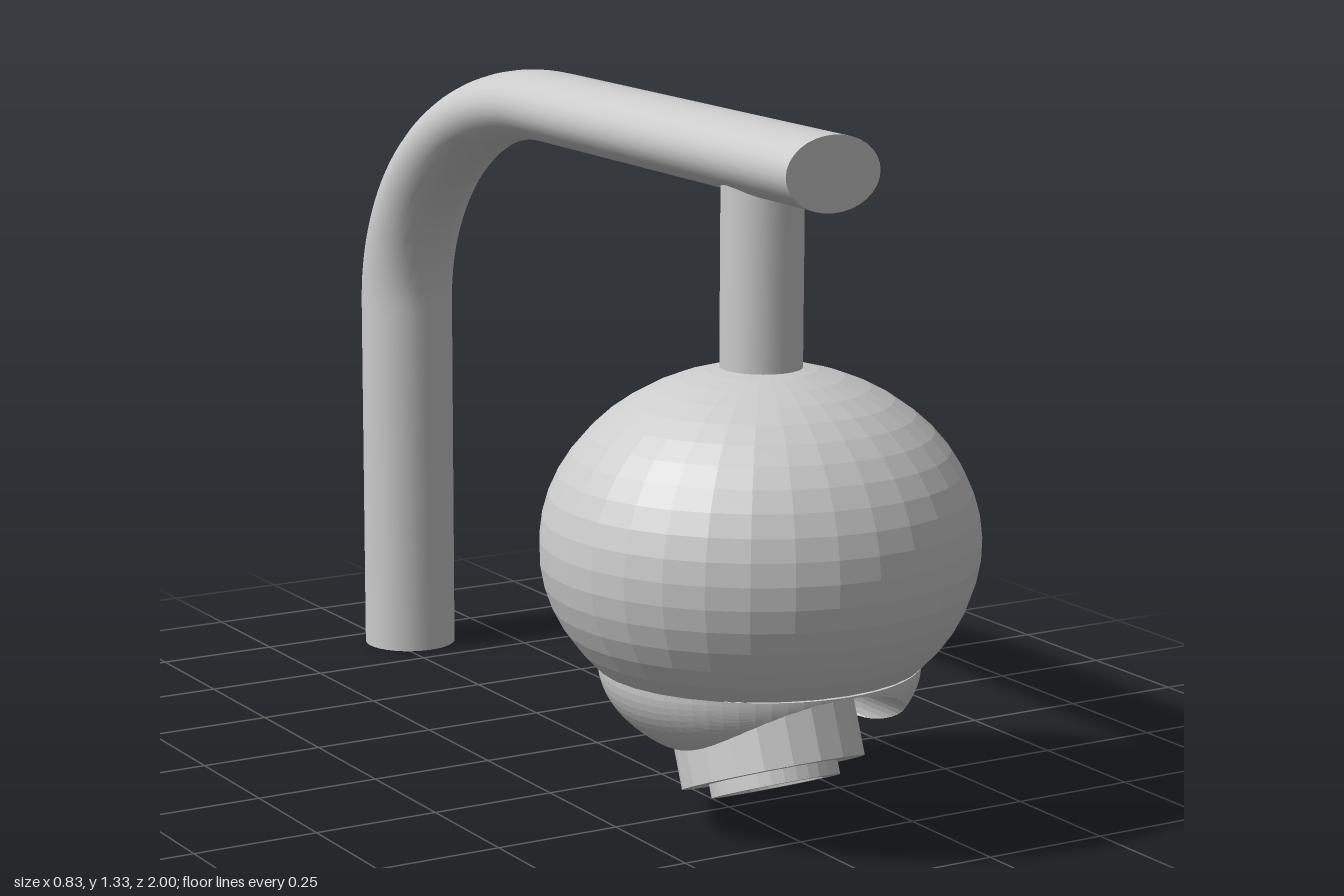
import * as THREE from 'three';
import { ParametricGeometry } from 'three/addons/geometries/ParametricGeometry.js';

const smooth = new THREE.MeshStandardMaterial({ color: 0xcccccc });
const faceted = new THREE.MeshStandardMaterial({ color: 0xcccccc, flatShading: true });
const shell = new THREE.MeshStandardMaterial({ color: 0xcccccc, flatShading: true, side: THREE.DoubleSide });

function add(parent, name, geometry, material, x = 0, y = 0, z = 0) {
  const mesh = new THREE.Mesh(geometry, material);
  mesh.name = name;
  mesh.position.set(x, y, z);
  parent.add(mesh);
  return mesh;
}

// Curved mounting pipe: upright, quarter bend, long horizontal arm
function buildPipe() {
  const group = new THREE.Group();
  group.name = 'mountingPipe';
  const squash = 0.715, radius = 0.098, top = 1.26 / squash, bend = 0.7, length = 1.755, k = 0.5523 * bend;
  const V = (y, z) => new THREE.Vector3(0, y, z);
  const path = new THREE.CurvePath();
  path.add(new THREE.LineCurve3(V(0, 0), V(top - bend, 0)));
  path.add(new THREE.CubicBezierCurve3(V(top - bend, 0), V(top - bend + k, 0), V(top, bend - k), V(top, bend)));
  path.add(new THREE.LineCurve3(V(top, bend), V(top, length)));
  add(group, 'pipe', new THREE.TubeGeometry(path, 110, radius, 32), smooth);
  const disc = new THREE.CircleGeometry(radius, 32);
  add(group, 'pipeFoot', disc, smooth).rotation.x = Math.PI / 2;
  add(group, 'pipeEnd', disc, smooth, 0, top, length);
  group.scale.y = squash;
  group.rotation.y = -0.034;
  group.position.set(0.045, 0, -0.9);
  return group;
}

// Lower dome: half ellipsoid with an arched tunnel running front to back
function buildLowerDome() {
  const group = new THREE.Group();
  group.name = 'lowerDome';
  const R = 0.302, B = 0.188, archW = 0.21, archH = 0.127, archY = -0.13;
  const inTunnel = (x, y) =>
    Math.abs(x) < archW && (y < archY || (x / archW) ** 2 + ((y - archY) / archH) ** 2 < 1);
  const outer = (u, v, p) => {
    const phi = u * Math.PI * 2;
    let low = 0, high = Math.PI / 2;
    for (let i = 0; i < 30; i++) {
      const t = (low + high) / 2;
      if (inTunnel(R * Math.cos(t) * Math.cos(phi), -B * Math.sin(t))) high = t;
      else low = t;
    }
    const t = v * low;
    p.set(R * Math.cos(t) * Math.cos(phi), -B * Math.sin(t), R * Math.cos(t) * Math.sin(phi));
  };
  const tunnel = (u, v, p) => {
    const a = u * Math.PI;
    const x = -archW * Math.cos(a), y = archY + archH * Math.sin(a);
    const z = R * Math.sqrt(Math.max(0, 1 - (x / R) ** 2 - (y / B) ** 2));
    p.set(x, y, (2 * v - 1) * z);
  };
  add(group, 'domeSkin', new ParametricGeometry(outer, 64, 10), shell);
  add(group, 'domeTunnel', new ParametricGeometry(tunnel, 32, 4), shell);
  group.position.set(0, 0.315, 0.602);
  return group;
}

// Tilted lens barrel, its lower face at the group's origin
function buildLens() {
  const group = new THREE.Group();
  group.name = 'lensUnit';
  add(group, 'lensHousing', new THREE.CylinderGeometry(0.174, 0.174, 0.34, 20), faceted, 0, 0.17, 0);
  const profile = [[0, -0.017], [0.09, -0.017], [0.092, -0.026], [0.122, -0.026], [0.122, 0.01]];
  add(group, 'lensRing',
    new THREE.LatheGeometry(profile.map(([x, y]) => new THREE.Vector2(x, y)), 32), faceted);
  group.rotation.x = -0.38;
  group.position.set(-0.006, 0.112, 0.663);
  return group;
}

export function createModel() {
  const model = new THREE.Group();
  model.name = 'domeCamera';
  model.add(buildPipe());

  // Hanging stem between pipe and ball
  add(model, 'stem', new THREE.CylinderGeometry(0.077, 0.077, 0.4, 24), smooth, 0, 1.03, 0.6);

  // Ball housing, cut open at the bottom
  const cut = Math.acos(-0.225 / 0.337);
  const ball = add(model, 'ballHousing',
    new THREE.SphereGeometry(1, 32, 18, 0, Math.PI * 2, 0, cut), shell, 0, 0.54, 0.602);
  ball.scale.set(0.416, 0.337, 0.398);

  // Narrow lip closing the ball's cut edge
  const lip = add(model, 'ballLip', new THREE.RingGeometry(0.27, 0.304, 32), shell, 0, 0.316, 0.602);
  lip.rotation.x = Math.PI / 2;

  model.add(buildLowerDome(), buildLens());
  return model;
}
